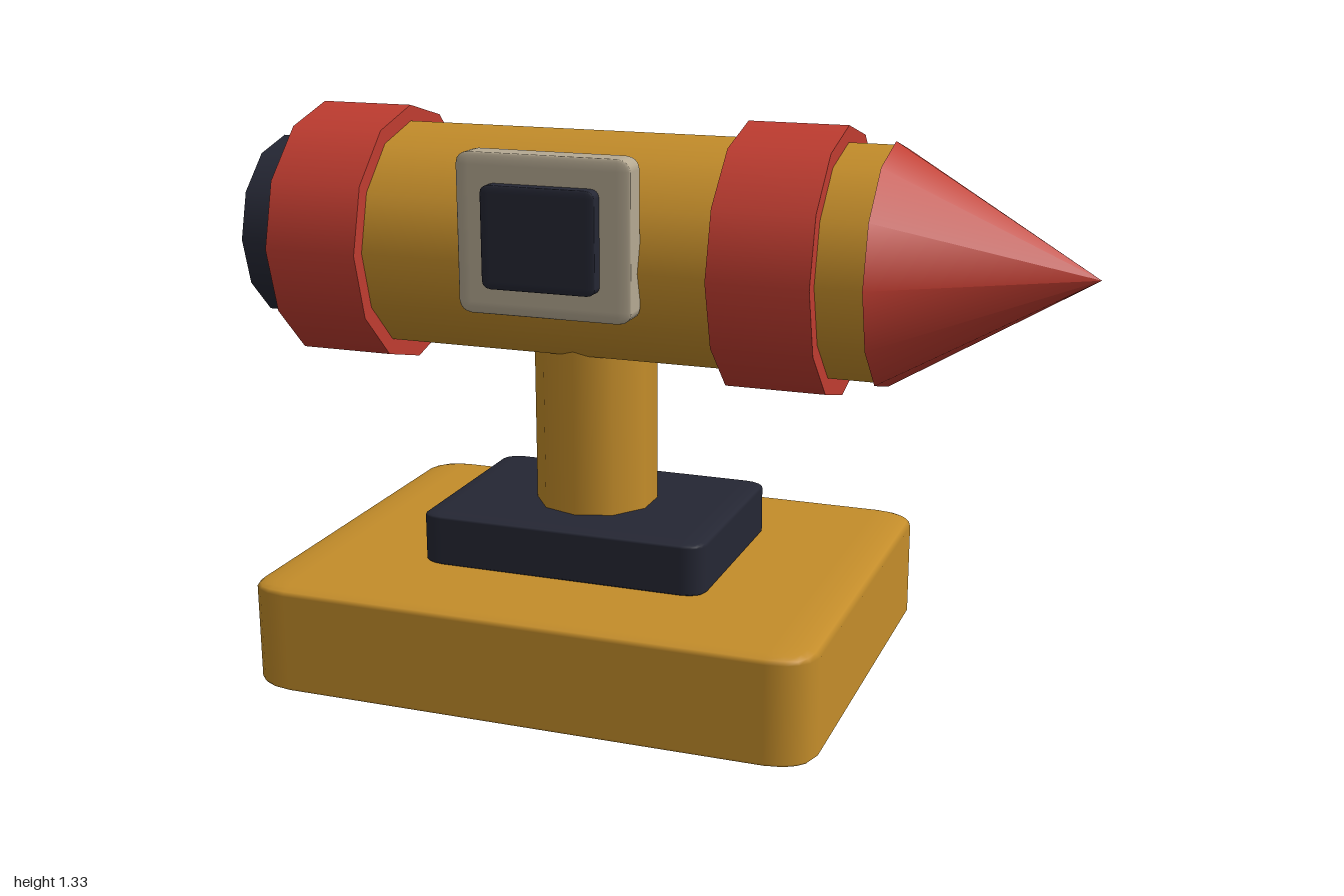
import * as THREE from 'three';
import { RoundedBoxGeometry } from 'three/addons/geometries/RoundedBoxGeometry.js';

const material = (color) => new THREE.MeshStandardMaterial({ color });

export function createModel() {
  const group = new THREE.Group();
  const gold = material(0xc48d2a);
  const red = material(0xbf3c30);
  const navy = material(0x252734);
  const beige = material(0xb5a992);
  const axisY = 1.02;
  const centreX = -0.18;

  const add = (name, geometry, mat) => {
    const mesh = new THREE.Mesh(geometry, mat);
    mesh.name = name;
    group.add(mesh);
    return mesh;
  };

  // Soft-edged block given by its extents; edge rounding stretches with the block
  const block = (name, mat, [x0, x1], [y0, y1], [z0, z1]) => {
    const mesh = add(name, new RoundedBoxGeometry(1, 1, 1, 2, 0.075), mat);
    mesh.scale.set(x1 - x0, y1 - y0, z1 - z0);
    mesh.position.set((x0 + x1) / 2, (y0 + y1) / 2, (z0 + z1) / 2);
  };

  // Twelve-sided drum lying along x, from x0 to x1
  const drum = (name, mat, x0, x1, r0, r1 = r0) => {
    const geometry = new THREE.CylinderGeometry(r1, r0, x1 - x0, 12);
    geometry.rotateZ(-Math.PI / 2);
    add(name, geometry, mat).position.set((x0 + x1) / 2, axisY, 0);
  };

  // Stand
  block('base', gold, [-0.865, 0.505], [0, 0.27], [-0.52, 0.52]);
  block('basePlinth', navy, [-0.535, 0.175], [0.265, 0.395], [-0.257, 0.257]);
  const post = add('post', new THREE.CylinderGeometry(0.147, 0.147, 0.49, 10), gold);
  post.position.set(centreX, 0.615, 0);

  // Barrel with its bands, nose and rear cap
  drum('barrel', gold, -0.893, 0.54, 0.272);
  drum('rearBand', red, -0.883, -0.652, 0.31);
  drum('frontBand', red, 0.195, 0.428, 0.31);
  drum('noseCone', red, 0.535, 0.997, 0.28, 0);
  drum('rearCap', navy, -1, -0.904, 0.222);

  // Side panel with screen
  block('panel', beige, [-0.387, 0.027], [0.912, 1.277], [0.25, 0.314]);
  block('panelScreen', navy, [-0.315, -0.045], [0.977, 1.21], [0.3, 0.346]);

  return group;
}
